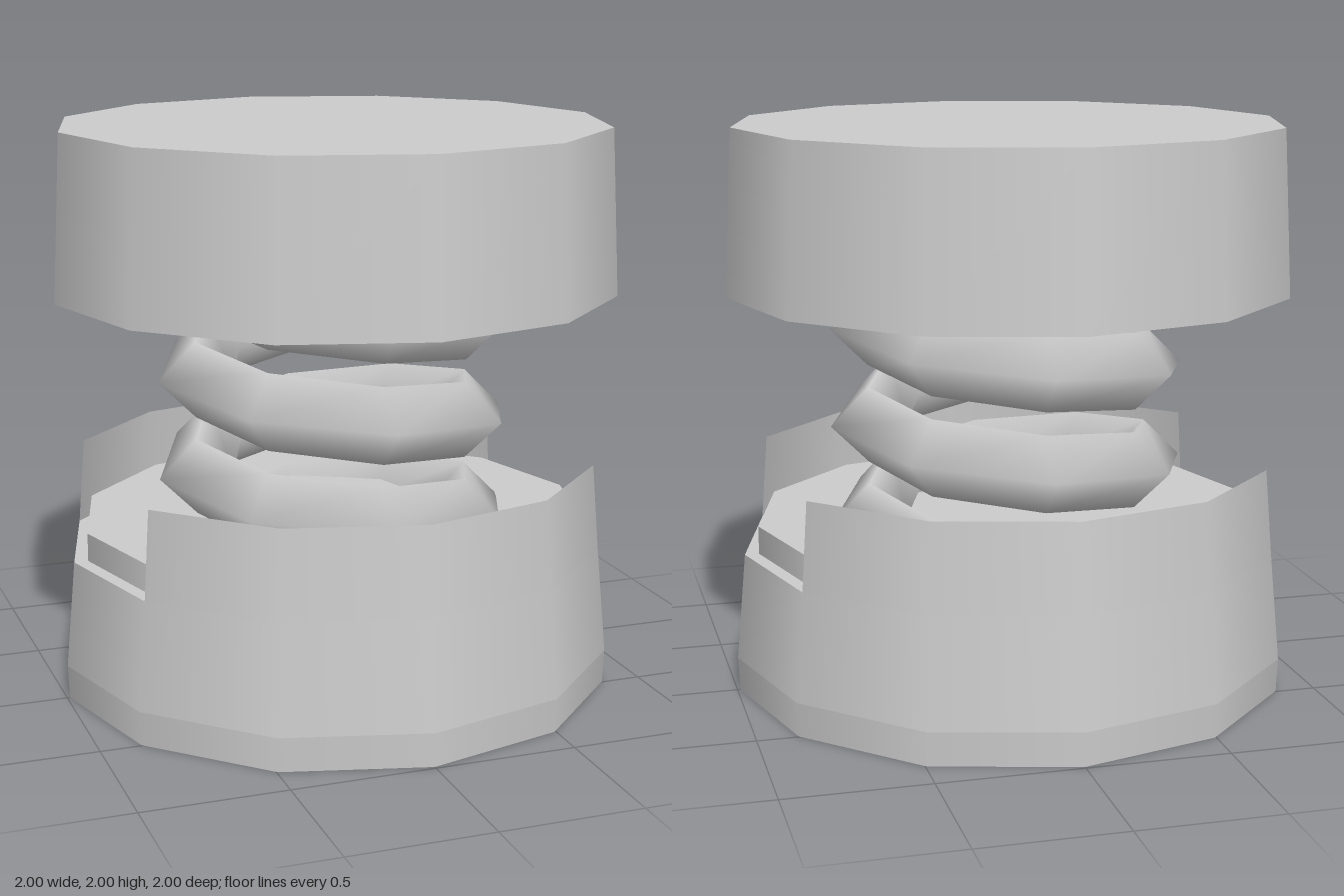
import * as THREE from 'three';
import { ParametricGeometry } from 'three/addons/geometries/ParametricGeometry.js';

const SIDES = 12;

export function createModel() {
  const model = new THREE.Group();
  const solid = new THREE.MeshStandardMaterial({ color: 0xcccccc });
  const thin = new THREE.MeshStandardMaterial({ color: 0xcccccc, side: THREE.DoubleSide });

  const add = (name, geometry, material = solid) => {
    const mesh = new THREE.Mesh(geometry, material);
    mesh.name = name;
    model.add(mesh);
  };

  // Twelve-sided drum from y0 to y1
  const drum = (name, r0, r1, y0, y1) =>
    add(name, new THREE.CylinderGeometry(r1, r0, y1 - y0, SIDES).translate(0, (y0 + y1) / 2, 0));

  drum('foot', 0.99, 0.995, 0, 0.12);
  drum('baseSkirt', 0.995, 0.96, 0.12, 0.5);
  drum('springSeat', 0.91, 0.91, 0.5, 0.6);
  drum('topCap', 1, 0.97, 1.42, 2);

  // Thin guard walls, front and back, leaving a notch on each side
  for (const [name, start] of [['frontGuard', -Math.PI / 3], ['backGuard', Math.PI * 2 / 3]]) {
    const wall = new THREE.CylinderGeometry(0.935, 0.96, 0.31, 4, 1, true, start, Math.PI * 2 / 3);
    add(name, wall.translate(0, 0.655, 0), thin);
  }

  // Helical spring: a four-sided section swept eight steps per turn
  const radius = 0.51, thick = 0.135, pitch = 0.35, steps = 26;
  const spring = new ParametricGeometry((u, v, p) => {
    const a = u * Math.PI * 2;
    const step = -12 + v * steps;
    const t = step * Math.PI / 4;
    const r = radius + thick * Math.cos(a);
    p.set(r * Math.cos(t), 0.945 + pitch * step / 8 + thick * Math.sin(a), r * Math.sin(t));
  }, 4, steps);
  add('spring', spring, thin);

  return model;
}
